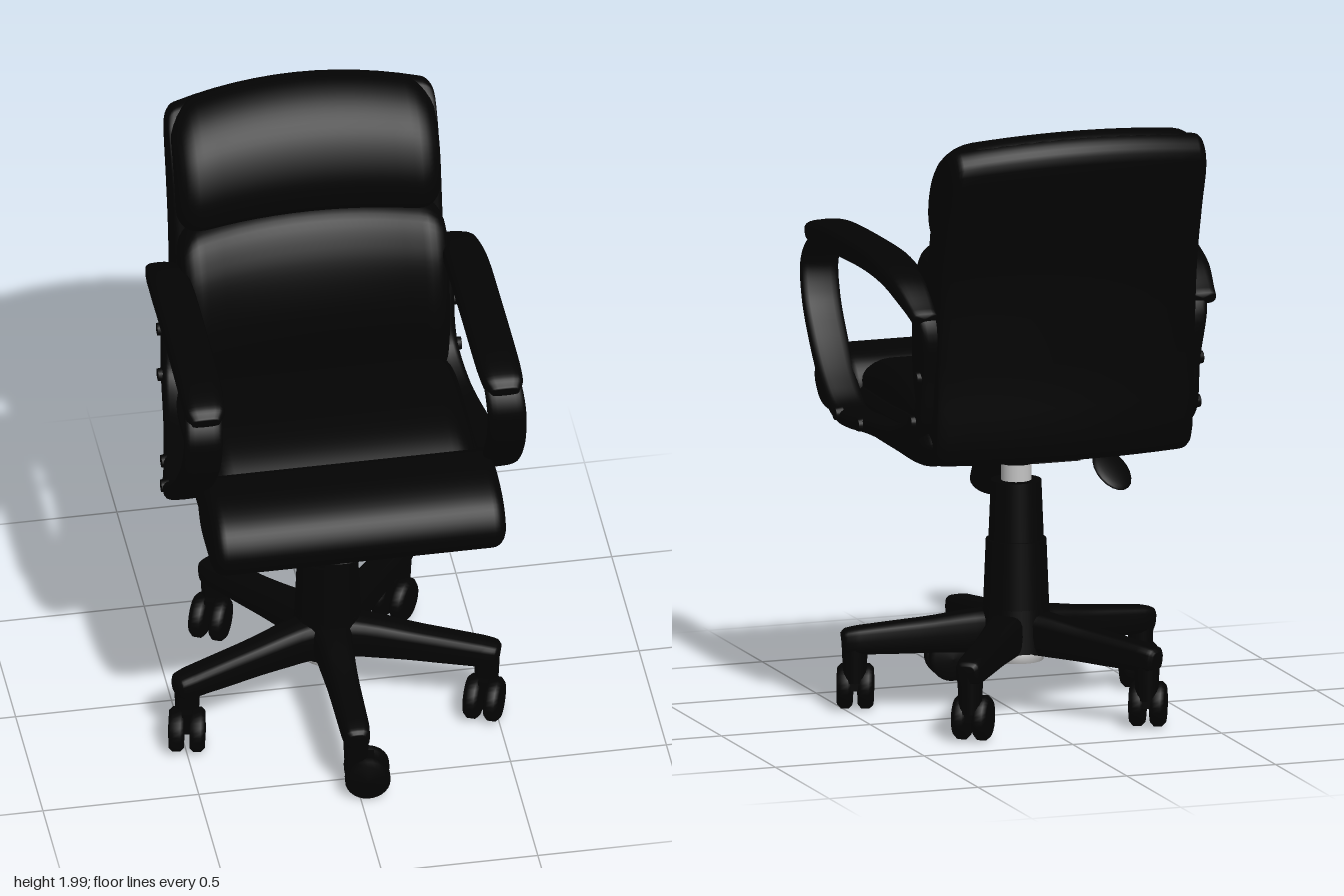
import * as THREE from 'three';

const black = new THREE.MeshStandardMaterial({ color: 0x030303 });
black.name = 'black';
const metal = new THREE.MeshStandardMaterial({ color: 0xc4c4c4 });
metal.name = 'metal';

const CX = -0.007, CZ = 0.045; // column axis

function add(parent, name, geometry, material = black) {
  const mesh = new THREE.Mesh(geometry, material);
  mesh.name = name;
  parent.add(mesh);
  return mesh;
}

// Skin a row of equal-sized rings; caps the ends unless the row is a closed loop
function loft(rings, closed = false) {
  const n = rings[0].length, m = rings.length, pos = [], idx = [];
  rings.forEach((r) => r.forEach((p) => pos.push(p.x, p.y, p.z)));
  for (let i = 0; i < (closed ? m : m - 1); i++) {
    for (let j = 0; j < n; j++) {
      const a = i * n + j, b = i * n + (j + 1) % n, k = ((i + 1) % m) * n;
      idx.push(a, b, k + j, b, k + (j + 1) % n, k + j);
    }
  }
  if (!closed) {
    [0, m - 1].forEach((e) => {
      const c = rings[e].reduce((s, p) => s.add(p), new THREE.Vector3()).divideScalar(n);
      const id = pos.length / 3;
      pos.push(c.x, c.y, c.z);
      for (let j = 0; j < n; j++) {
        const a = e * n + j, b = e * n + (j + 1) % n;
        idx.push(id, e ? a : b, e ? b : a);
      }
    });
  }
  // turn the faces outward if the enclosed volume is negative
  const v = (i) => new THREE.Vector3().fromArray(pos, idx[i] * 3);
  let volume = 0;
  for (let i = 0; i < idx.length; i += 3) volume += v(i).dot(v(i + 1).cross(v(i + 2)));
  if (volume < 0) idx.reverse();
  const g = new THREE.BufferGeometry();
  g.setAttribute('position', new THREE.Float32BufferAttribute(pos, 3));
  g.setIndex(idx);
  g.computeVertexNormals();
  return g;
}

// Side profile [z, y] carried across x with rounded ends and an optional bend
function cushion(profile, halfW, round, bend = () => {}) {
  const pts = new THREE.CatmullRomCurve3(profile.map(([z, y]) => new THREE.Vector3(0, y, z)), true, 'centripetal').getPoints(56).slice(0, -1);
  const box = new THREE.Box3().setFromPoints(pts);
  const c = box.getCenter(new THREE.Vector3()), h = box.getSize(new THREE.Vector3()).multiplyScalar(0.5);
  const xs = [];
  for (let i = 0; i <= 6; i++) xs.push(-halfW + round * (1 - Math.cos((i / 6) * Math.PI / 2)));
  for (let i = 1; i < 12; i++) xs.push((halfW - round) * (i / 6 - 1));
  xs.push(...xs.slice(0, 7).reverse().map((x) => -x));
  return loft(xs.map((x) => {
    const t = Math.min(1, Math.max(0, (Math.abs(x) - halfW + round) / round));
    const d = round * (1 - Math.sqrt(1 - t * t));
    return pts.map((p) => {
      const q = new THREE.Vector3(x, c.y + (p.y - c.y) * (1 - d / h.y), c.z + (p.z - c.z) * (1 - d / h.z));
      bend(q);
      return q;
    });
  }));
}

// Rounded-rectangle bar along stations [x, y, z, halfWidth, halfThickness] in an upright plane
function bar(stations, steps, closed = false) {
  const path = new THREE.CatmullRomCurve3(stations.map((s) => new THREE.Vector3(s[0], s[1], s[2])), closed, 'centripetal');
  const size = new THREE.CatmullRomCurve3(stations.map((s) => new THREE.Vector3(s[3], s[4], 0)), closed, 'catmullrom', 0.3);
  const rings = [];
  for (let i = 0; i < (closed ? steps : steps + 1); i++) {
    const p = path.getPoint(i / steps), t = path.getTangent(i / steps), s = size.getPoint(i / steps);
    const up = new THREE.Vector3(0, t.z, -t.y).normalize();
    rings.push(Array.from({ length: 20 }, (_, j) => {
      const a = (j / 20) * Math.PI * 2, f = (w) => Math.sign(w) * Math.abs(w) ** 0.6;
      return p.clone().addScaledVector(up, f(Math.sin(a)) * s.y).add(new THREE.Vector3(f(Math.cos(a)) * s.x, 0, 0));
    }));
  }
  return loft(rings, closed);
}

function cylinder(parent, name, rTop, rBottom, y0, y1, material) {
  const mesh = add(parent, name, new THREE.CylinderGeometry(rTop, rBottom, y1 - y0, 32), material);
  mesh.position.set(CX, (y0 + y1) / 2, CZ);
  return mesh;
}

function caster(yaw) {
  const g = new THREE.Group();
  g.name = 'caster';
  add(g, 'casterStem', new THREE.CylinderGeometry(0.042, 0.036, 0.13, 16)).position.y = 0.165;
  const head = new THREE.Group();
  head.name = 'casterWheels';
  head.rotation.y = yaw;
  const section = [[0, -0.026], [0.06, -0.026], [0.072, -0.015], [0.072, 0.01], [0.06, 0.022], [0, 0.025]];
  for (const s of [-1, 1]) {
    const wheel = add(head, 'wheel', new THREE.LatheGeometry(section.map(([r, y]) => new THREE.Vector2(r, y)), 28));
    wheel.rotation.z = -s * Math.PI / 2;
    wheel.position.set(s * 0.035, 0.08, 0.035);
  }
  add(head, 'casterFork', new THREE.BoxGeometry(0.03, 0.08, 0.085)).position.set(0, 0.115, 0.015);
  g.add(head);
  return g;
}

export function createModel() {
  const chair = new THREE.Group();
  chair.name = 'officeChair';

  // Five-legged base with twin-wheel casters
  [1.45, -0.4, -0.6, -0.45, -0.2].forEach((yaw, i) => {
    const a = (i * Math.PI * 2) / 5;
    const leg = new THREE.Group();
    leg.name = 'baseLeg';
    leg.position.set(CX, 0, CZ + 0.015);
    leg.rotation.y = a;
    add(leg, 'legBeam', bar([
      [0, 0.27, 0.02, 0.075, 0.075], [0, 0.265, 0.12, 0.058, 0.068], [0, 0.25, 0.3, 0.048, 0.055],
      [0, 0.236, 0.49, 0.045, 0.045], [0, 0.232, 0.532, 0.04, 0.04], [0, 0.23, 0.547, 0.026, 0.028],
    ], 20));
    const c = caster(yaw - a);
    c.position.z = 0.505;
    leg.add(c);
    chair.add(leg);
  });
  cylinder(chair, 'hub', 0.105, 0.115, 0.21, 0.35);
  const ring = add(chair, 'hubRing', new THREE.LatheGeometry(
    [[0.072, 0.175], [0.086, 0.175], [0.086, 0.21], [0.072, 0.21], [0.072, 0.175]].map(([r, y]) => new THREE.Vector2(r, y)), 32), metal);
  ring.position.set(CX, 0, CZ);

  // Gas column
  cylinder(chair, 'columnLower', 0.096, 0.105, 0.34, 0.565);
  cylinder(chair, 'columnUpper', 0.08, 0.088, 0.56, 0.755);
  cylinder(chair, 'piston', 0.048, 0.048, 0.74, 0.825, metal);

  // Tilt mechanism, tension knob and levers
  cylinder(chair, 'mechanismCollar', 0.11, 0.055, 0.81, 0.86);
  add(chair, 'mechanismPlate', new THREE.BoxGeometry(0.24, 0.05, 0.3)).position.set(0, 0.875, 0.1);
  const knob = add(chair, 'tensionKnob', new THREE.CylinderGeometry(0.068, 0.068, 0.2, 28));
  knob.position.set(CX, 0.79, 0.23);
  knob.rotation.x = -0.5;
  const strip = add(chair, 'backBracket', new THREE.BoxGeometry(0.16, 0.012, 0.36));
  strip.position.set(0, 0.872, -0.17);
  strip.rotation.x = 0.13;
  const paddle = add(chair, 'leverPaddle', new THREE.SphereGeometry(1, 20, 12));
  paddle.scale.set(0.068, 0.016, 0.085);
  paddle.position.set(-0.3, 0.78, -0.035);
  paddle.rotation.set(-0.65, 0, 0.3);
  const wire = new THREE.CatmullRomCurve3([[0.1, 0.9, 0.02], [0.24, 0.885, 0], [0.21, 0.85, -0.02], [0.14, 0.842, -0.03]].map((p) => new THREE.Vector3(...p)));
  add(chair, 'wireLever', new THREE.TubeGeometry(wire, 20, 0.007, 8));

  // Seat: pan, main cushion and front roll
  add(chair, 'seatPan', cushion([
    [0.57, 0.95], [0.5, 1.03], [0, 1.05], [-0.32, 1.04], [-0.4, 0.98], [-0.33, 0.905], [0, 0.89], [0.4, 0.91],
  ], 0.455, 0.06));
  add(chair, 'seatCushion', cushion([
    [0.38, 1.04], [0.29, 1.115], [0.14, 1.152], [-0.07, 1.148], [-0.22, 1.105], [-0.3, 1.04], [-0.2, 0.97], [0.2, 0.96],
  ], 0.43, 0.08));
  add(chair, 'seatFrontRoll', cushion([
    [0.636, 1.01], [0.59, 1.1], [0.45, 1.143], [0.31, 1.115], [0.26, 1.03], [0.32, 0.93], [0.45, 0.912], [0.58, 0.925],
  ], 0.468, 0.04));

  // Backrest: curved shell, lumbar cushion with side bolsters, and headrest
  const bend = (reach) => (p) => {
    const u = (p.x / reach) ** 2;
    p.z += 0.055 * u;
    p.y -= 0.035 * u * Math.max(0, (p.y - 1.5) / 0.5);
  };
  add(chair, 'backShell', cushion([
    [-0.465, 0.925], [-0.5, 1.22], [-0.54, 1.56], [-0.59, 1.75], [-0.638, 1.93], [-0.6, 1.985], [-0.55, 1.985],
    [-0.44, 1.8], [-0.38, 1.55], [-0.32, 1.3], [-0.32, 1.05], [-0.4, 0.92],
  ], 0.43, 0.035, bend(0.42)));
  add(chair, 'lumbarCushion', cushion([
    [-0.45, 1.62], [-0.33, 1.63], [-0.25, 1.53], [-0.205, 1.38], [-0.195, 1.24], [-0.215, 1.13], [-0.28, 1.02],
    [-0.38, 0.98], [-0.43, 1.3],
  ], 0.428, 0.08, bend(0.37)));
  add(chair, 'headrest', cushion([
    [-0.56, 2], [-0.465, 1.975], [-0.37, 1.89], [-0.313, 1.76], [-0.318, 1.66], [-0.38, 1.595], [-0.5, 1.62],
    [-0.58, 1.82], [-0.615, 1.965],
  ], 0.424, 0.09, bend(0.42)));

  // Armrests: looped frame tucked in toward the backrest, padded top and bolts
  for (const s of [1, -1]) {
    const arm = new THREE.Group();
    arm.name = s > 0 ? 'leftArm' : 'rightArm';
    const mirrored = (stations) => stations.map(([x, ...rest]) => [x * s, ...rest]);
    add(arm, 'armFrame', bar(mirrored([
      [0.5, 0.98, 0.17, 0.058, 0.028], [0.502, 1.05, 0.28, 0.06, 0.027], [0.495, 1.18, 0.405, 0.063, 0.024],
      [0.49, 1.3, 0.485, 0.063, 0.022], [0.486, 1.41, 0.507, 0.062, 0.022], [0.48, 1.485, 0.45, 0.06, 0.022],
      [0.475, 1.498, 0.2, 0.06, 0.024], [0.475, 1.498, -0.1, 0.06, 0.025], [0.465, 1.46, -0.28, 0.055, 0.028],
      [0.442, 1.37, -0.39, 0.045, 0.035], [0.432, 1.2, -0.37, 0.038, 0.035], [0.435, 1.05, -0.33, 0.04, 0.04],
      [0.45, 0.985, -0.2, 0.042, 0.034], [0.475, 0.975, 0, 0.05, 0.028],
    ]), 110, true));
    add(arm, 'armPad', bar(mirrored([
      [0.48, 1.492, 0.525, 0.045, 0.018], [0.478, 1.505, 0.49, 0.064, 0.035], [0.475, 1.515, 0.38, 0.068, 0.042],
      [0.473, 1.52, 0.1, 0.068, 0.042], [0.472, 1.512, -0.12, 0.068, 0.04], [0.47, 1.475, -0.28, 0.062, 0.036],
      [0.468, 1.4, -0.42, 0.042, 0.022],
    ]), 40));
    for (const [y, z, x] of [[0.985, 0.16, 0.55], [0.975, 0.02, 0.525], [1.05, -0.33, 0.475], [1.2, -0.37, 0.47]]) {
      const bolt = add(arm, 'bolt', new THREE.CylinderGeometry(0.02, 0.024, 0.024, 16));
      bolt.rotation.z = -s * Math.PI / 2;
      bolt.position.set(x * s, y, z);
    }
    chair.add(arm);
  }
  return chair;
}
